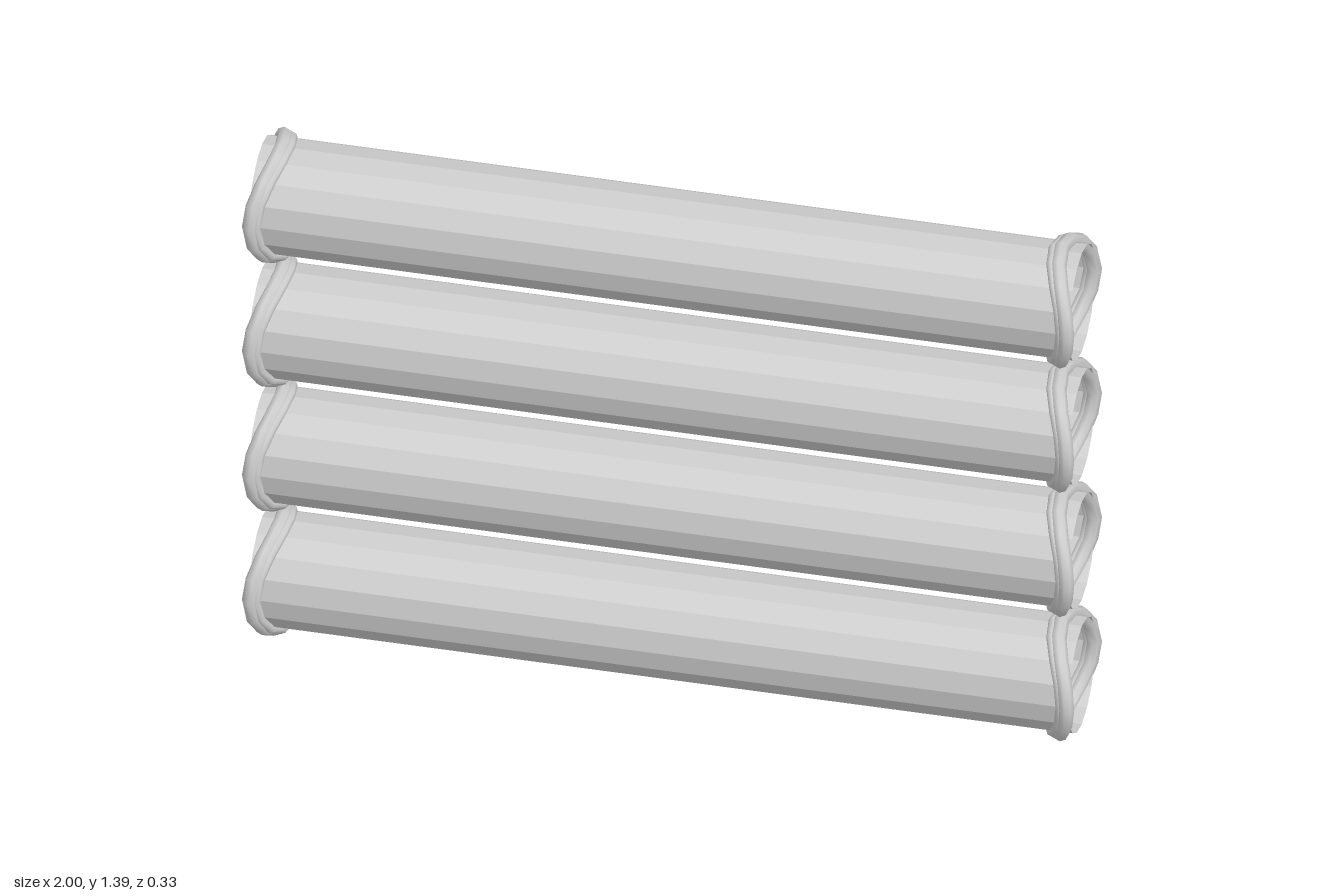
import * as THREE from 'three';
import { mergeVertices } from 'three/addons/utils/BufferGeometryUtils.js';

const SIDES = 16;
const PIPE_RADIUS = 0.14;
const RIM_RADIUS = 0.144;

const pipeMaterial = new THREE.MeshStandardMaterial({ color: 0xcccccc, flatShading: true, side: THREE.DoubleSide });
const rimMaterial = new THREE.MeshStandardMaterial({ color: 0xcccccc });

// Ring around the x axis, bent inward at its top and bottom like a saddle
function saddleRing(thickness, endX, bow) {
  const torus = new THREE.TorusGeometry(RIM_RADIUS, thickness, 8, SIDES).rotateY(Math.PI / 2);
  torus.deleteAttribute('uv');
  torus.deleteAttribute('normal');
  const geometry = mergeVertices(torus);
  const p = geometry.attributes.position;
  for (let i = 0; i < p.count; i++) {
    const y = p.getY(i), z = p.getZ(i);
    p.setX(i, p.getX(i) + endX - (bow * y * y) / (y * y + z * z));
  }
  geometry.computeVertexNormals();
  return geometry;
}

export function createModel() {
  const model = new THREE.Group();
  model.name = 'pipeStack';

  const pipeGeometry = new THREE.CylinderGeometry(PIPE_RADIUS, PIPE_RADIUS, 1.97, SIDES, 1, true).rotateZ(Math.PI / 2);
  const outerRim = saddleRing(0.019, 0.981, 0.046);
  const innerRim = saddleRing(0.012, 0.967, 0.05);

  for (let i = 0; i < 4; i++) {
    const pipe = new THREE.Group();
    pipe.name = `pipe${i + 1}`;
    pipe.position.y = 0.163 + i * 0.355;

    // Open tube
    const tube = new THREE.Mesh(pipeGeometry, pipeMaterial);
    tube.name = 'tube';
    pipe.add(tube);

    // A pair of saddle rims at each end
    for (const side of ['left', 'right']) {
      for (const [name, geometry] of [['OuterRim', outerRim], ['InnerRim', innerRim]]) {
        const rim = new THREE.Mesh(geometry, rimMaterial);
        rim.name = side + name;
        if (side === 'right') rim.rotation.y = Math.PI;
        pipe.add(rim);
      }
    }
    model.add(pipe);
  }
  return model;
}
